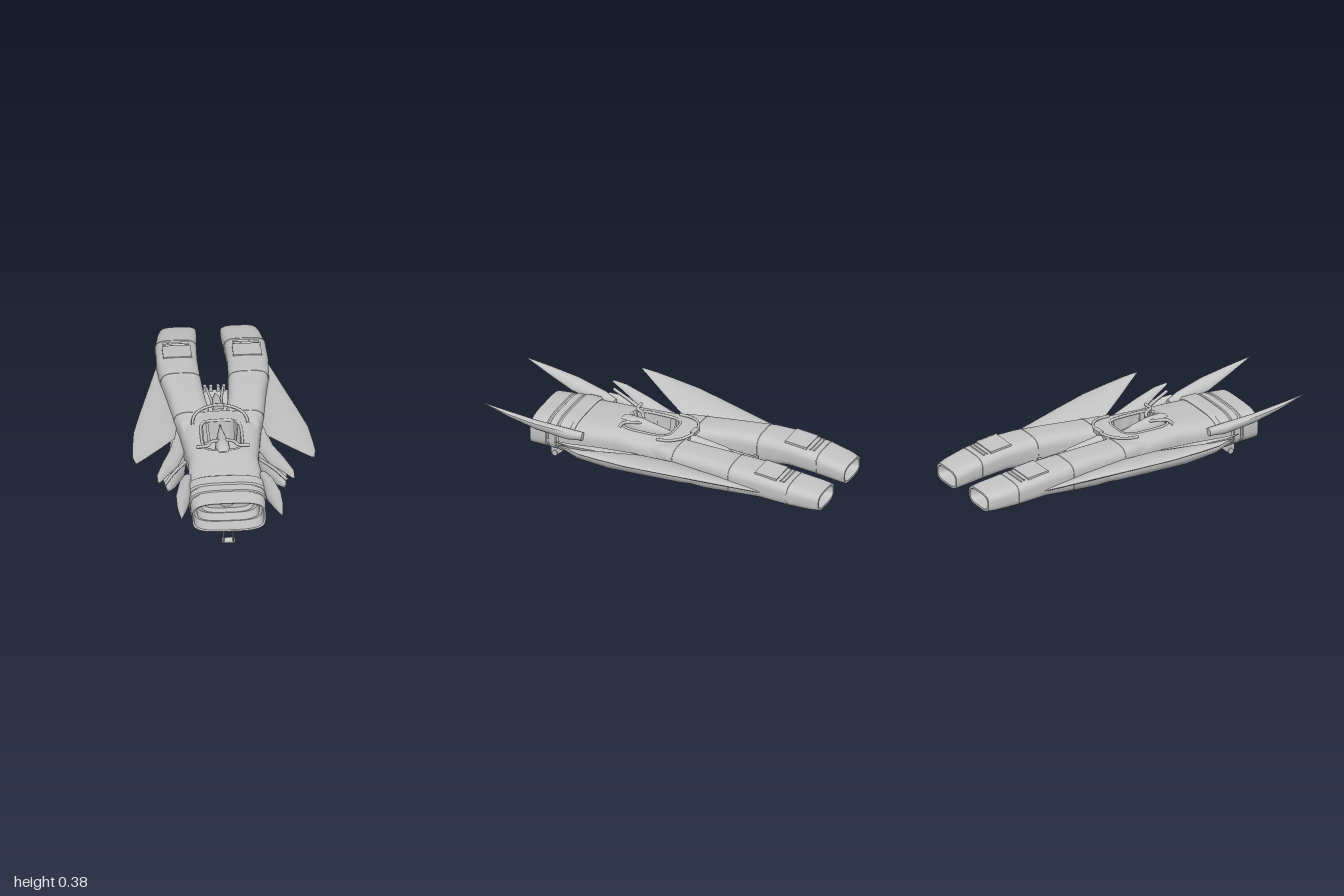
import * as THREE from 'three';
import { toCreasedNormals } from 'three/addons/utils/BufferGeometryUtils.js';

const hull = new THREE.MeshStandardMaterial({ color: 0xc4c4c4 });
hull.name = 'hull grey';

// Skin a list of equal-length rings (counter-clockwise seen from +z, front to back)
function loft(rings, crease = 0.6) {
  const n = rings[0].length, pos = [], idx = [];
  rings.forEach(r => r.forEach(p => pos.push(...p)));
  for (let i = 0; i < rings.length - 1; i++) {
    for (let j = 0; j < n; j++) {
      const k = (j + 1) % n, a = i * n + j, b = i * n + k, c = b + n, d = a + n;
      idx.push(a, d, c, a, c, b);
    }
  }
  [rings[0], rings[rings.length - 1]].forEach((r, end) => {
    const mid = [0, 1, 2].map(q => r.reduce((s, p) => s + p[q], 0) / n);
    const m = pos.length / 3, base = end ? (rings.length - 1) * n : 0;
    pos.push(...mid);
    for (let j = 0; j < n; j++) {
      const a = base + j, b = base + (j + 1) % n;
      idx.push(m, end ? b : a, end ? a : b);
    }
  });
  const g = new THREE.BufferGeometry();
  g.setAttribute('position', new THREE.Float32BufferAttribute(pos, 3));
  g.setIndex(idx);
  return toCreasedNormals(g, crease);
}

// Rounded-rectangle ring from [z, x0, x1, y0, y1], optionally grown by e
function rrect([z, x0, x1, y0, y1], { n = 48, p = 3.5, e = 0, s = 1 } = {}) {
  const f = v => Math.sign(v) * Math.pow(Math.abs(v), 2 / p);
  return Array.from({ length: n }, (_, i) => {
    const t = (i / n) * Math.PI * 2;
    return [s * (x0 + x1) / 2 + ((x1 - x0) / 2 + e) * f(Math.cos(t)),
      (y0 + y1) / 2 + ((y1 - y0) / 2 + e) * f(Math.sin(t)), z];
  });
}

// Lens-shaped ring from inner edge to outer edge: [z, xi, yi, xo, yo, thickness]
function lens([z, xi, yi, xo, yo, t], s) {
  const hx = s * (xo - xi) / 2, hy = (yo - yi) / 2, len = Math.hypot(hx, hy);
  return Array.from({ length: 16 }, (_, i) => {
    const a = (i / 16) * Math.PI * 2, c = Math.cos(a), w = Math.sin(a) * Math.abs(Math.sin(a)) ** 0.4 * t / 2;
    return [s * (xi + xo) / 2 + hx * c - hy / len * w, (yi + yo) / 2 + hy * c + Math.abs(hx) / len * w * s, z];
  });
}

// Interpolate key sections (ordered front to back) at z
function at(keys, z) {
  let i = 0;
  while (i < keys.length - 2 && keys[i + 1][0] > z) i++;
  const a = keys[i], b = keys[i + 1], t = (a[0] - z) / (a[0] - b[0]);
  return a.map((v, q) => v + (b[q] - v) * t);
}

const BODY = [[0.54, -0.2, 0.2, 0.125, 0.305], [0.4, -0.2, 0.2, 0.12, 0.315], [0.28, -0.19, 0.19, 0.12, 0.325],
  [0, -0.222, 0.222, 0.12, 0.328], [-0.12, -0.235, 0.235, 0.13, 0.315]];
const NACELLE = [[0.1, 0.135, 0.2, 0.15, 0.29], [-0.02, 0.118, 0.225, 0.14, 0.315], [-0.1, 0.035, 0.245, 0.135, 0.322],
  [-0.3, 0.06, 0.268, 0.14, 0.333], [-0.5, 0.075, 0.298, 0.172, 0.337], [-0.65, 0.08, 0.305, 0.19, 0.332],
  [-0.82, 0.075, 0.3, 0.18, 0.31], [-0.95, 0.066, 0.28, 0.172, 0.288], [-1, 0.064, 0.265, 0.172, 0.275]];
const WING = [[0.41, 0.478, 0.346, 0.486, 0.349, 0.006], [0.33, 0.43, 0.322, 0.497, 0.336, 0.022], [0.22, 0.355, 0.298, 0.49, 0.326, 0.036],
  [0.06, 0.25, 0.265, 0.474, 0.312, 0.044], [-0.13, 0.22, 0.25, 0.432, 0.294, 0.044], [-0.4, 0.25, 0.245, 0.368, 0.268, 0.036], [-0.67, 0.28, 0.238, 0.304, 0.242, 0.014]];
const CANARD = [[1, 0.272, 0.374, 0.276, 0.376, 0.004], [0.85, 0.238, 0.325, 0.287, 0.348, 0.03], [0.7, 0.21, 0.276, 0.284, 0.326, 0.05],
  [0.52, 0.195, 0.252, 0.252, 0.298, 0.06], [0.44, 0.19, 0.255, 0.222, 0.282, 0.045]];
const UPPER_FIN = [[0.53, 0.36, 0.296, 0.372, 0.302, 0.006], [0.45, 0.33, 0.272, 0.372, 0.294, 0.024], [0.3, 0.25, 0.24, 0.33, 0.277, 0.036],
  [0.14, 0.2, 0.22, 0.278, 0.254, 0.04], [-0.12, 0.2, 0.21, 0.236, 0.224, 0.025]];
const LOWER_FIN = [[0.53, 0.308, 0.24, 0.322, 0.252, 0.01], [0.42, 0.27, 0.19, 0.335, 0.242, 0.05], [0.25, 0.21, 0.15, 0.312, 0.226, 0.075],
  [0.05, 0.185, 0.142, 0.274, 0.21, 0.075], [-0.15, 0.185, 0.14, 0.258, 0.2, 0.06], [-0.38, 0.21, 0.165, 0.25, 0.195, 0.025]];

// Half-width of the cockpit opening at z
function openingWidth(z) {
  const t = (z - 0.125) / 0.145;
  return Math.abs(t) >= 1 ? 0 : 0.112 * Math.pow(1 - t ** 4, 0.5);
}

export function createModel() {
  const model = new THREE.Group();
  model.name = 'racingSpeeder';
  const add = (name, geo) => {
    const m = new THREE.Mesh(geo, hull);
    m.name = name;
    model.add(m);
    return m;
  };
  const tube = (name, pts, r, closed = false) => add(name, new THREE.TubeGeometry(
    new THREE.CatmullRomCurve3(pts.map(p => new THREE.Vector3(...p)), closed), pts.length * 6, r, 8, closed));
  const box = (name, w, h, d, x, y, z, rx = 0) => {
    const m = add(name, new THREE.BoxGeometry(w, h, d));
    m.position.set(x, y, z);
    m.rotation.x = rx;
  };

  // Main fuselage with the cockpit pressed into its top
  const rows = [];
  for (let i = 0; i <= 66; i++) {
    const z = 0.54 - i * 0.01, w = openingWidth(z);
    rows.push(rrect(at(BODY, z), { n: 160 }).map(([x, y]) => [x, y > 0.24 && Math.abs(x) < w ? 0.2 : y, z]));
  }
  add('fuselage', loft(rows, 0.7));

  // Cockpit rim
  const rim = [];
  for (let i = 0; i < 32; i++) {
    const a = (i / 32) * Math.PI * 2, f = v => Math.sign(v) * Math.sqrt(Math.abs(v));
    const z = 0.125 + 0.145 * f(Math.sin(a));
    rim.push([0.11 * f(Math.cos(a)), at(BODY, z)[4] - 0.005, z]);
  }
  tube('cockpitRim', rim, 0.008, true);

  // Front intake: hollow duct with stepped inner wall
  const duct = (z, w, y0, y1) => rrect([z, -w, w, y0, y1], { n: 64 });
  add('intake', loft([duct(0.56, 0.14, 0.14, 0.29), duct(0.6, 0.145, 0.138, 0.291), duct(0.6, 0.165, 0.135, 0.293),
    duct(0.67, 0.17, 0.132, 0.295), duct(0.67, 0.185, 0.128, 0.298), duct(0.755, 0.19, 0.128, 0.297), duct(0.76, 0.2, 0.121, 0.304),
    duct(0.665, 0.204, 0.119, 0.312), duct(0.66, 0.2, 0.123, 0.308), duct(0.65, 0.2, 0.123, 0.308), duct(0.645, 0.206, 0.118, 0.314),
    duct(0.605, 0.208, 0.117, 0.316), duct(0.6, 0.204, 0.121, 0.312), duct(0.59, 0.204, 0.121, 0.312),
    duct(0.585, 0.213, 0.115, 0.322), duct(0.52, 0.213, 0.115, 0.324), duct(0.5, 0.2, 0.12, 0.312)], 0.5));
  const bullet = add('intakeCone', new THREE.SphereGeometry(1, 32, 20));
  bullet.scale.set(0.052, 0.07, 0.015);
  bullet.position.set(0, 0.215, 0.56);

  // Belly pan running back between the engines
  const PAN = [[0.46, -0.14, 0.14, 0.122, 0.16], [0.3, -0.172, 0.172, 0.11, 0.17], [0.05, -0.176, 0.176, 0.1, 0.18],
    [-0.22, -0.168, 0.168, 0.1, 0.18], [-0.36, -0.125, 0.125, 0.122, 0.195], [-0.48, -0.072, 0.072, 0.148, 0.21]];
  add('bellyPan', loft(PAN.map(k => rrect(k, { p: 9 })), 0.5));

  // Steering column, seat and rear spine
  add('steeringColumn', loft([[0.295, 0.026, 0.305, 0.329], [0.27, 0.038, 0.27, 0.338], [0.18, 0.04, 0.2, 0.335],
    [0.08, 0.024, 0.2, 0.315], [-0.01, 0.006, 0.2, 0.3]].map(([z, w, a, b]) => rrect([z, -w, w, a, b], { n: 24, p: 2.5 }))));
  add('rearSpine', loft([[-0.05, 0.04, 0.2, 0.318], [-0.18, 0.03, 0.2, 0.3], [-0.32, 0.022, 0.2, 0.28],
    [-0.42, 0.006, 0.2, 0.23]].map(([z, w, a, b]) => rrect([z, -w, w, a, b], { n: 24, p: 3 }))));

  // Windscreen hoop
  const arc = [];
  for (let i = 0; i <= 16; i++) {
    const a = (i / 16) * Math.PI;
    arc.push([0.15 * Math.cos(a), 0.325 + 0.014 * Math.sin(a), 0.025 - 0.165 * Math.sin(a) ** 0.8]);
  }
  tube('windscreenHoop', arc, 0.008);
  box('hoopMount', 0.06, 0.02, 0.03, 0, 0.335, -0.135);

  // Landing skid foot
  const foot = add('skidFoot', new THREE.CylinderGeometry(0.016, 0.016, 0.072, 20));
  foot.rotation.z = Math.PI / 2;
  foot.position.set(0, 0.016, 0.69);

  for (const s of [1, -1]) {
    const side = s > 0 ? 'left' : 'right';

    // Engine nacelle with hollow exhaust
    const rings = [];
    for (let z = 0.1; z > -0.995; z -= 0.02) rings.push(rrect(at(NACELLE, z), { s }));
    const last = NACELLE[NACELLE.length - 1], inner = [-0.84, 0.1, 0.24, 0.195, 0.265];
    rings.push(rrect(last, { s }), rrect(last, { s, e: -0.012 }), rrect(inner, { s }));
    add(side + 'Nacelle', loft(rings));

    // Fine panel seams on the nacelle
    for (const z of [-0.105, -0.465, -0.82]) {
      add(side + 'NacelleSeam', loft([[z + 0.003, -0.004], [z, 0.002], [z - 0.006, 0.002], [z - 0.009, -0.004]]
        .map(([q, e]) => rrect(at(NACELLE, q), { s, e }))));
    }
    // Top vent: raised panel with rails and louvres behind it
    box(side + 'VentPanel', 0.15, 0.008, 0.13, s * 0.19, 0.327, -0.685, -0.1);
    for (const x of [0.115, 0.265]) box(side + 'VentRail', 0.005, 0.012, 0.13, s * x, 0.326, -0.685, -0.1);
    for (const z of [-0.77, -0.79]) box(side + 'VentLouvre', 0.14, 0.006, 0.01, s * 0.19, at(NACELLE, z)[4], z, 0.35);

    // Swept blades
    for (const [name, keys] of [['Wing', WING], ['Canard', CANARD], ['UpperFin', UPPER_FIN], ['LowerFin', LOWER_FIN]])
      add(side + name, loft(keys.map(k => lens(k, s)), 0.8));
    tube(side + 'FinRod', [[s * 0.2, 0.22, 0.22], [s * 0.27, 0.25, 0.36], [s * 0.335, 0.27, 0.51]], 0.009);

    // Handlebar
    tube(side + 'Handlebar', [[s * 0.02, 0.325, 0.18], [s * 0.06, 0.338, 0.21], [s * 0.085, 0.34, 0.25], [s * 0.145, 0.338, 0.255]], 0.009);

    // Rear linkage between the engines
    tube(side + 'LinkRod', [[s * 0.02, 0.27, -0.18], [s * 0.03, 0.25, -0.34], [s * 0.045, 0.23, -0.47]], 0.008);
    for (const x of [0.02, 0.052]) box(side + 'LinkClamp', 0.018, 0.03, 0.025, s * x, 0.225, -0.475);

    // Landing skid strut
    const plate = new THREE.Shape([[0.55, 0.125], [0.72, 0.125], [0.715, 0.02], [0.7, 0.004], [0.67, 0.012]]
      .map(p => new THREE.Vector2(-p[0], p[1])));
    const strut = add(side + 'SkidStrut', new THREE.ExtrudeGeometry(plate, { depth: 0.006, bevelEnabled: false }));
    strut.rotation.y = Math.PI / 2;
    strut.position.x = s * 0.026 - 0.003;
  }
  return model;
}
